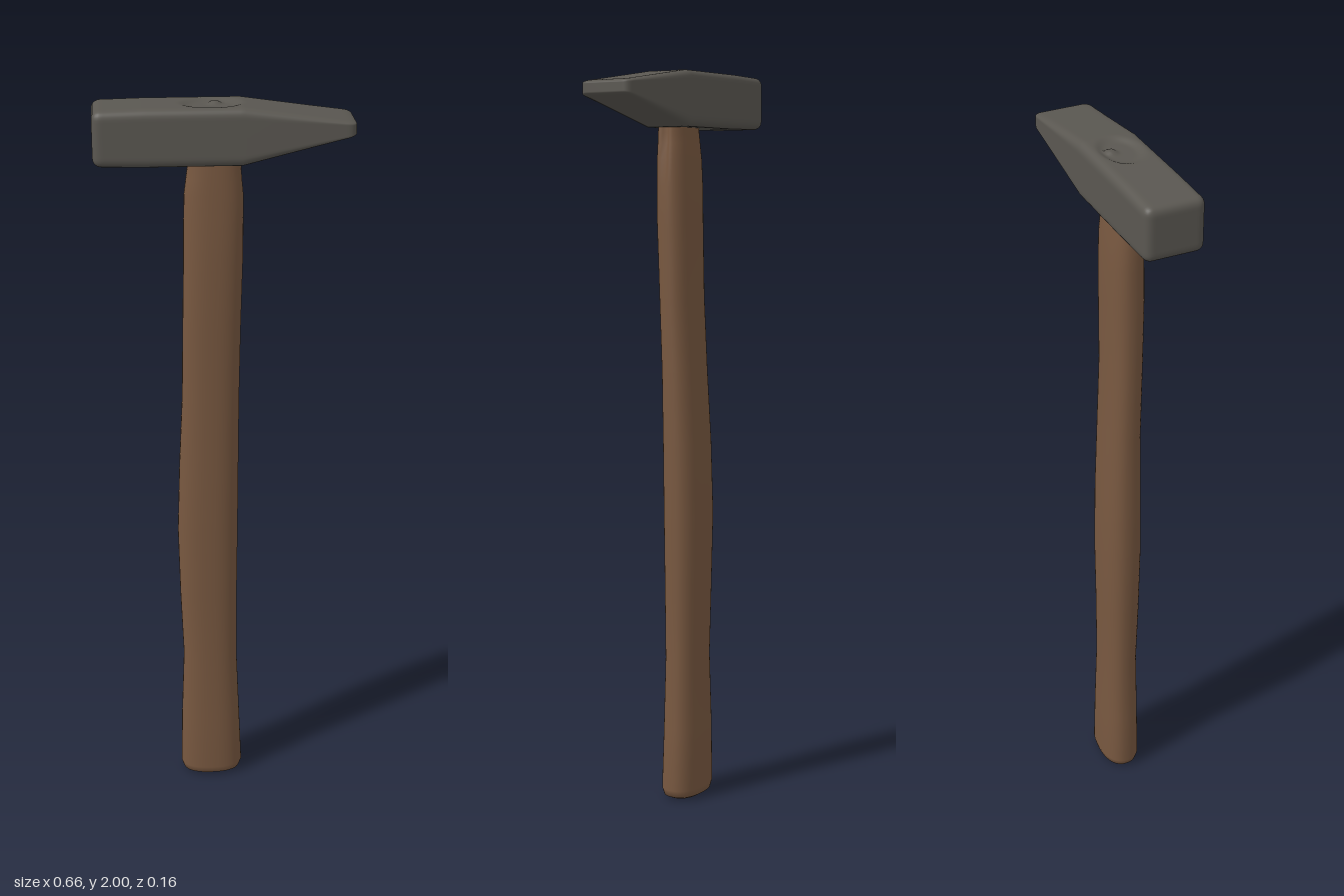
import * as THREE from 'three';
import { mergeVertices } from 'three/addons/utils/BufferGeometryUtils.js';

const { clamp, lerp, smoothstep } = THREE.MathUtils;

// Rounded steel block, flat-tapered to a chisel edge on +x, with a dished eye on top
function headGeometry() {
  const half = new THREE.Vector3(0.33, 0.0735, 0.0785), r = 0.022;
  let geo = new THREE.BoxGeometry(0.66, 0.147, 0.157, 88, 20, 28);
  geo.deleteAttribute('uv');
  geo.deleteAttribute('normal');
  geo = mergeVertices(geo, 1e-5);
  const pos = geo.attributes.position, p = new THREE.Vector3(), core = new THREE.Vector3();
  const inner = half.clone().subScalar(r);
  for (let i = 0; i < pos.count; i++) {
    p.fromBufferAttribute(pos, i);
    const onTop = p.y > half.y - 1e-4;
    // round the edges
    core.copy(p).clamp(inner.clone().negate(), inner);
    p.sub(core).normalize().multiplyScalar(r).add(core);
    // dished eye with a small wedge knob
    if (onTop) {
      const d = Math.hypot((p.x + 0.03) / 0.085, p.z / 0.058);
      const knob = Math.hypot(p.x + 0.02, p.z + 0.022);
      p.y -= 0.009 * (1 - smoothstep(d, 0.6, 1));
      p.y += 0.008 * (1 - smoothstep(knob, 0.006, 0.022));
    }
    // chisel taper, and a slightly smaller striking end
    const t = clamp((p.x - 0.045) / 0.285, 0, 1);
    const s = clamp((-0.2 - p.x) / 0.13, 0, 1);
    p.y = lerp(1.9265, 1.942, t) + p.y * lerp(1, 0.24, t) * (1 - 0.04 * s);
    p.z *= 1 - 0.025 * t;
    pos.setXYZ(i, p.x, p.y, p.z);
  }
  geo.computeVertexNormals();
  return geo;
}

// Oval loft: [y, x min, x max, z min, z max]
function handleGeometry() {
  const rows = [
    [0, -0.035, -0.033, -0.016, -0.014],
    [0.003, -0.1, 0.032, -0.055, 0.025],
    [0.01, -0.116, 0.047, -0.066, 0.035],
    [0.03, -0.123, 0.054, -0.071, 0.04],
    [0.2, -0.12, 0.047, -0.069, 0.037],
    [0.4, -0.113, 0.039, -0.064, 0.034],
    [0.6, -0.121, 0.039, -0.066, 0.038],
    [0.8, -0.126, 0.041, -0.069, 0.041],
    [1.0, -0.12, 0.042, -0.065, 0.042],
    [1.2, -0.111, 0.043, -0.056, 0.043],
    [1.4, -0.108, 0.046, -0.047, 0.048],
    [1.6, -0.104, 0.051, -0.046, 0.053],
    [1.7, -0.103, 0.053, -0.045, 0.052],
    [1.77, -0.101, 0.053, -0.042, 0.051],
    [1.81, -0.096, 0.049, -0.039, 0.05],
    [1.84, -0.092, 0.047, -0.037, 0.049],
    [1.9, -0.09, 0.045, -0.036, 0.047],
  ];
  const n = 40, verts = [], index = [];
  const bow = (v) => Math.sign(v) * Math.abs(v) ** 0.85;
  rows.forEach(([y, x0, x1, z0, z1], i) => {
    for (let j = 0; j < n; j++) {
      const a = (j / n) * Math.PI * 2;
      // shallow split running down from the head on the +x side
      const off = Math.min(j, n - j) / 2;
      const split = 0.012 * smoothstep(y, 1.65, 1.82) * Math.max(0, 1 - off);
      verts.push((x0 + x1) / 2 + bow(Math.cos(a)) * (x1 - x0) / 2 - split, y,
        (z0 + z1) / 2 + bow(Math.sin(a)) * (z1 - z0) / 2);
      if (i < rows.length - 1) {
        const k = (j + 1) % n, b = i * n, t = b + n;
        index.push(b + j, t + j, b + k, t + j, t + k, b + k);
      }
    }
  });
  const geo = new THREE.BufferGeometry();
  geo.setAttribute('position', new THREE.Float32BufferAttribute(verts, 3));
  geo.setIndex(index);
  geo.computeVertexNormals();
  return geo;
}

export function createModel() {
  const steel = new THREE.MeshStandardMaterial({ name: 'dark steel', color: 0x5a5751 });
  const wood = new THREE.MeshStandardMaterial({ name: 'brown wood', color: 0x785840 });
  const group = new THREE.Group();
  group.name = 'hammer';
  const add = (name, geo, mat) => {
    const mesh = new THREE.Mesh(geo, mat);
    mesh.name = name;
    group.add(mesh);
  };
  add('head', headGeometry(), steel);
  add('handle', handleGeometry(), wood);
  return group;
}
